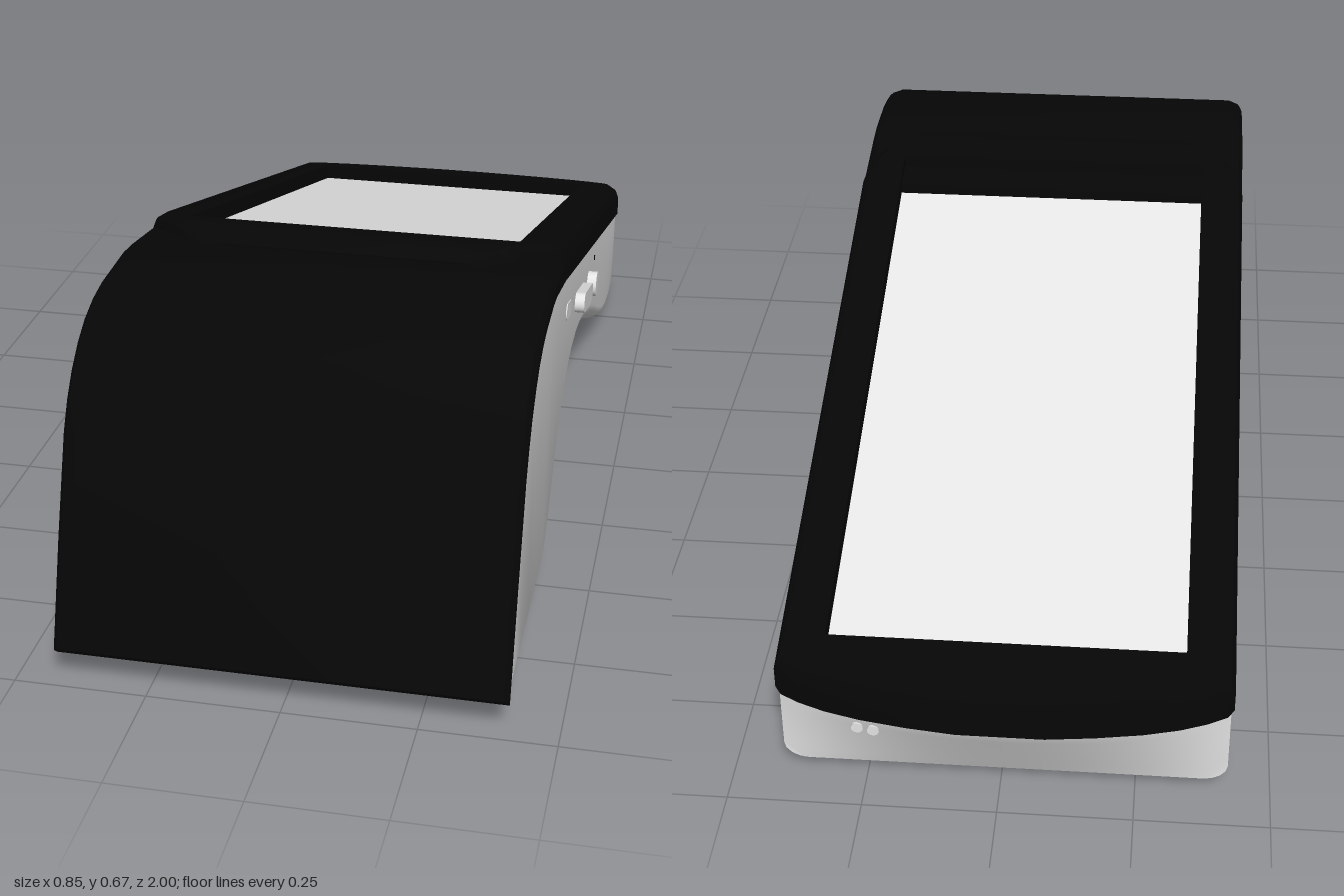
import * as THREE from 'three';
import { toCreasedNormals } from 'three/addons/utils/BufferGeometryUtils.js';

const shellBlack = new THREE.MeshStandardMaterial({ name: 'shell black', color: 0x060606 });
const bodyGrey = new THREE.MeshStandardMaterial({ name: 'body light grey', color: 0xe4e4e4 });
const screenGrey = new THREE.MeshStandardMaterial({ name: 'screen grey', color: 0xe7e7e7 });

const HALF = 0.417;                       // half width of the black shell
const SIDE = 0.412;                       // half width of the body
const SCREEN = 0.328;                     // half width of the screen opening
const SLOPE = 0.2956;
const TILT = Math.atan(SLOPE);
const THICK = 0.078;                      // height of the screen deck
const RECESS = 0.036;                     // depth of the screen opening
const deckY = z => 0.5606 + SLOPE * z;    // top of the sloping screen deck

function mesh(name, geometry, material, x = 0, y = 0, z = 0) {
  const m = new THREE.Mesh(geometry, material);
  m.name = name;
  m.position.set(x, y, z);
  return m;
}

// Skins rings from front to back. A station has a low and a high point [z, y].
// ring(station, length) gives [x, fraction from low to high], anticlockwise from the front.
function loft(stations, ring) {
  const pos = [], idx = [];
  let n = 0;
  for (const station of stations) {
    const { lo, hi } = station;
    const pts = ring(station, Math.hypot(hi[0] - lo[0], hi[1] - lo[1]));
    n = pts.length;
    for (const [x, f] of pts) pos.push(x, lo[1] + (hi[1] - lo[1]) * f, lo[0] + (hi[0] - lo[0]) * f);
  }
  const last = (stations.length - 1) * n;
  for (let i = 0; i < last; i += n) {
    for (let j = 0; j < n; j++) {
      const k = (j + 1) % n;
      idx.push(i + j, i + n + j, i + n + k, i + j, i + n + k, i + k);
    }
  }
  for (let j = 1; j < n - 1; j++) {
    idx.push(0, j, j + 1, last, last + j + 1, last + j);
  }
  const g = new THREE.BufferGeometry();
  g.setAttribute('position', new THREE.Float32BufferAttribute(pos, 3));
  g.setIndex(idx);
  return toCreasedNormals(g, 0.55);
}

const mirrorRing = half => [...half, ...half.map(([x, f]) => [-x, f]).reverse()];

// Rounded top edges for the black shell
const shellHalf = w => [[w, 0], [w, 0.55], [w - 0.008, 0.82], [w - 0.03, 1]];
const hoodRing = () => mirrorRing(shellHalf(HALF));

// The deck adds a trough for the screen
function deckRing({ w, recess }, length) {
  const inner = Math.min(SCREEN, w - 0.035);
  return mirrorRing([...shellHalf(w), [inner, 1], [inner, 1 - recess / length]]);
}

// Rounded bottom edges for the body
function bodyRing({ edge }, length) {
  const r = 0.045, half = [[-SIDE, 1]];
  for (let i = 0; i <= 4; i++) {
    const a = i * Math.PI / 8;
    half.push([-SIDE + r * (1 - Math.cos(a)), edge * (1 - Math.sin(a)) / length]);
  }
  return mirrorRing(half);
}

// Pill-shaped button lying along the slope on the +x side
function pill(length, height, depth) {
  const r = height / 2, c = Math.max(length / 2 - r, 0.0001), s = new THREE.Shape();
  s.absarc(c, 0, r, -Math.PI / 2, Math.PI / 2);
  s.absarc(-c, 0, r, Math.PI / 2, Math.PI * 1.5);
  return new THREE.ExtrudeGeometry(s, { depth, bevelEnabled: false, curveSegments: 12 })
    .rotateZ(-TILT).rotateY(Math.PI / 2);
}

export function createModel() {
  const model = new THREE.Group();
  model.name = 'handheldTerminal';
  model.position.x = -0.0075;

  // Body: curved underside with a raised grip, sides running up into the shell
  const front = [
    [0.97, 0.056, 0.985, 0.075, 0.004], [0.9, 0.054, 0.92, 0.25, 0.012], [0.8, 0.052, 0.855, 0.43, 0.016],
    [0.7, 0.05, 0.79, 0.535, 0.018], [0.6, 0.047, 0.71, 0.6, 0.02], [0.5, 0.045, 0.6, 0.625, 0.022],
    [0.46, 0.053, 0.52, 0.62, 0.025], [0.42, 0.08, 0.45, 0.62, 0.028],
  ].map(([a, b, c, d, edge]) => ({ lo: [a, b], hi: [c, d], edge }));
  const rear = [
    [0.36, 0.14], [0.3, 0.2], [0.24, 0.242], [0.17, 0.272], [0.09, 0.286], [0, 0.286],
    [-0.1, 0.271], [-0.2, 0.242], [-0.34, 0.187], [-0.45, 0.135], [-0.55, 0.085],
    [-0.65, 0.04], [-0.74, 0.012], [-0.82, 0], [-0.88, 0.008], [-0.915, 0.03],
  ].map(([z, y]) => ({ lo: [z, y], hi: [z, deckY(z) - 0.055], edge: 0.035 }));
  model.add(mesh('body', loft([...front, ...rear], bodyRing), bodyGrey));

  // Rear wall: bulges backwards towards its upper middle
  const rearZ = (x, y) => -0.915 - 0.08 * (1 - (x / SIDE) ** 2) * THREE.MathUtils.clamp((y - 0.03) / 0.16, 0, 1);
  const wall = new THREE.PlaneGeometry(2, 1, 24, 8);
  const p = wall.attributes.position;
  for (let i = 0; i < p.count; i++) {
    const x = -p.getX(i) * SIDE;
    const over = Math.max(Math.abs(x) - (SIDE - 0.045), 0) / 0.045;
    const bottom = 0.03 + 0.035 * (1 - Math.sqrt(Math.max(1 - over * over, 0)));
    const y = bottom + (0.225 - bottom) * (p.getY(i) + 0.5);
    p.setXYZ(i, x, y, rearZ(x, y));
  }
  wall.computeVertexNormals();
  model.add(mesh('rearWall', wall, bodyGrey));

  // Front hood: black band curling over the paper housing
  const hood = [
    [0.972, 0.054, 1, 0.08], [0.905, 0.25, 0.936, 0.28], [0.838, 0.43, 0.87, 0.465],
    [0.813, 0.475, 0.84, 0.52], [0.78, 0.52, 0.805, 0.562], [0.74, 0.556, 0.764, 0.598],
    [0.7, 0.582, 0.72, 0.624], [0.65, 0.6, 0.67, 0.642], [0.6, 0.608, 0.62, 0.651],
    [0.5, 0.611, 0.5, 0.655], [0.45, 0.606, 0.45, 0.65], [0.25, 0.56, 0.25, 0.62],
  ].map(([a, b, c, d]) => ({ lo: [a, b], hi: [c, d] }));
  model.add(mesh('frontHood', loft(hood, hoodRing), shellBlack));

  // Screen deck: sloping frame with a stepped front edge and a bowed rear edge
  const deck = [
    [0.435, 0.27, 0, 0.653], [0.41, 0.32, 0, 0.67], [0.377, 0.35, 0], [0.35, 0.388, 0], [0.32, 0.408, 0],
    [0.32, 0.408, RECESS], [0.28, HALF, RECESS], [-0.878, HALF, RECESS],
    [-0.878, HALF, 0], [-0.923, HALF, 0], [-0.938, 0.405, 0], [-0.953, 0.37, 0], [-0.968, 0.32, 0],
    [-0.981, 0.255, 0], [-0.992, 0.17, 0], [-1, 0.08, 0],
  ].map(([z, w, recess, top = deckY(z)]) => ({ lo: [z, deckY(z) - THICK], hi: [z, top], w, recess }));
  model.add(mesh('screenDeck', loft(deck, deckRing), shellBlack));

  // Screen: thin plate on the floor of the opening
  const screen = mesh('screen', new THREE.BoxGeometry(SCREEN * 2, 0.004, 1.198 / Math.cos(TILT)), screenGrey,
    0, deckY(-0.279) - RECESS, -0.279);
  screen.rotation.x = -TILT;
  model.add(screen);

  // Card slot strip on the -x side
  const slot = mesh('cardSlotStrip', new THREE.BoxGeometry(0.009, 0.05, 0.66), shellBlack, -0.4125, deckY(-0.2) - 0.095, -0.2);
  slot.rotation.x = -TILT;
  model.add(slot);

  // Paper hatch under the front
  const outline = new THREE.Shape([
    [0.91, 0.03], [0.91, 0.09], [0.5, 0.15], [0.3, 0.29], [0.26, 0.26], [0.262, 0.21], [0.28, 0.14],
    [0.3, 0.09], [0.33, 0.053], [0.37, 0.035], [0.43, 0.025], [0.5, 0.02], [0.6, 0.02],
  ].map(([z, y]) => new THREE.Vector2(z, y)));
  const hatch = new THREE.ExtrudeGeometry(outline, { depth: 0.455, bevelEnabled: false })
    .translate(0, 0, -0.2275).rotateY(-Math.PI / 2);
  model.add(mesh('paperHatch', toCreasedNormals(hatch, 0.5), bodyGrey));

  // Side controls
  const x = SIDE - 0.005;
  model.add(
    mesh('volumeButton', pill(0.19, 0.042, 0.025), bodyGrey, x, 0.38, -0.04),
    mesh('powerButton', pill(0.054, 0.054, 0.025), bodyGrey, x, 0.326, -0.232),
    mesh('portCover', pill(0.09, 0.034, 0.007), bodyGrey, x, 0.454, 0.183),
    mesh('microphoneHole', pill(0.012, 0.012, 0.007), shellBlack, x, 0.334, -0.357),
  );

  // Charging contacts on the rear wall
  for (const cx of [0.235, 0.265]) {
    const pin = new THREE.CylinderGeometry(0.011, 0.011, 0.014, 16).rotateX(Math.PI / 2);
    model.add(mesh('chargingContact', pin, bodyGrey, cx, 0.15, rearZ(cx, 0.15)));
  }

  const root = new THREE.Group();
  root.name = 'terminal';
  root.add(model);
  return root;
}
